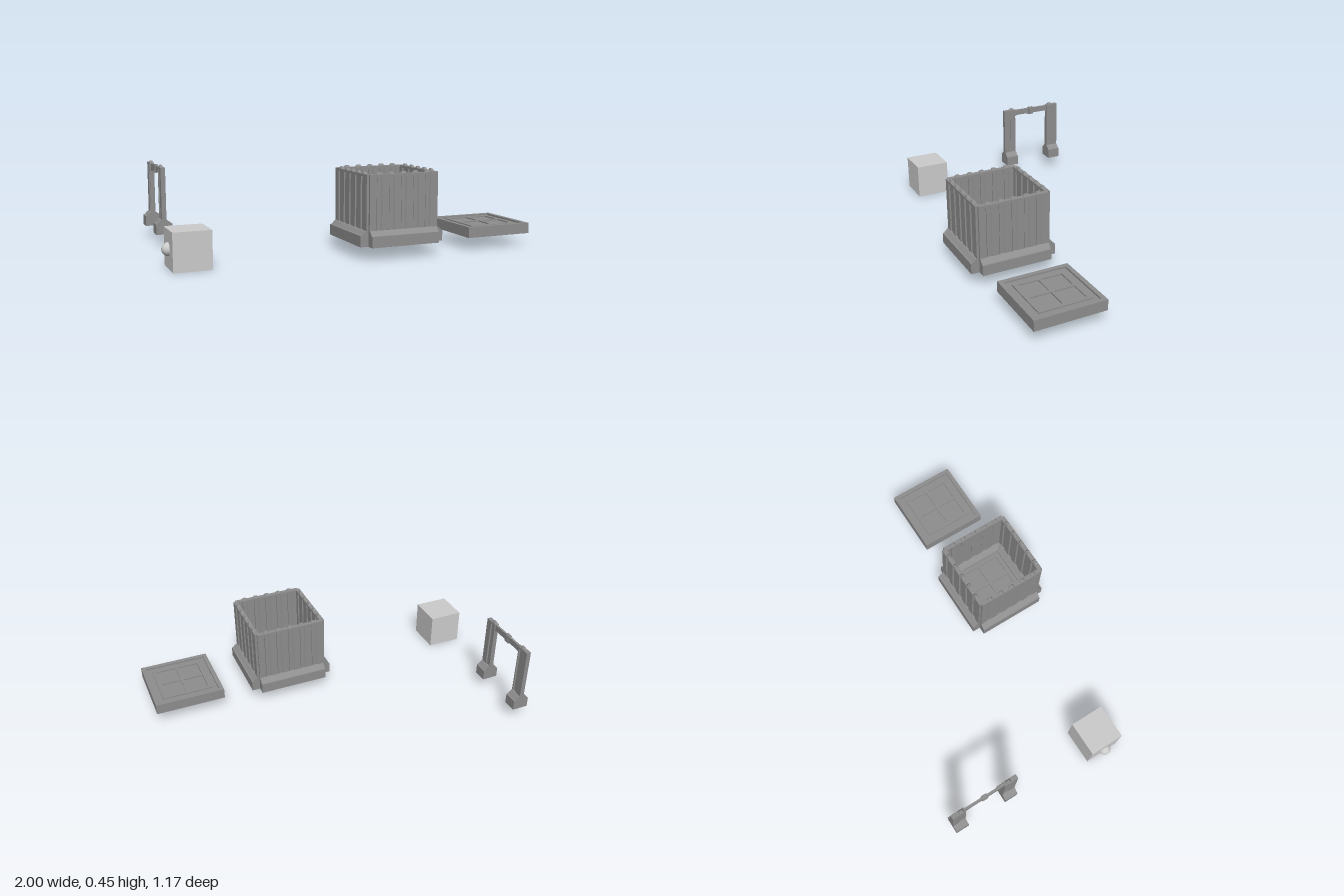
import * as THREE from 'three';

const dark = new THREE.MeshStandardMaterial({ color: 0x8e8e8e, flatShading: true });
const light = new THREE.MeshStandardMaterial({ color: 0xcccccc });
const HALF = 0.194; // half the width of a tile or wall
const T = 0.0125; // half the wall thickness
const BOTTOM = 0.07, TILE_TOP = 0.128;

function add(parent, name, geometry, material = dark, x = 0, y = 0, z = 0) {
  const mesh = new THREE.Mesh(geometry, material);
  mesh.name = name;
  mesh.position.set(x, y, z);
  parent.add(mesh);
  return mesh;
}

const polygon = (points) => new THREE.Shape(points.map(([x, y]) => new THREE.Vector2(x, y)));
const extrude = (shape, depth) => new THREE.ExtrudeGeometry(shape, { depth, bevelEnabled: false });

function square(cx, cy, h, PathType = THREE.Path) {
  return new PathType([[-h, -h], [h, -h], [h, h], [-h, h]].map(([x, y]) => new THREE.Vector2(cx + x, cy + y)));
}

// Wall section from x0 to x1 with upright grooves on both faces and a stud over each groove
function wallSection(parent, x0, x1, grooves) {
  const width = x1 - x0, mid = (x0 + x1) / 2;

  const edge = [[x0, T]];
  for (const g of grooves) {
    edge.push([g - 0.016, T], [g - 0.011, T - 0.006], [g + 0.011, T - 0.006], [g + 0.016, T]);
  }
  edge.push([x1, T]);
  const plan = [...edge, ...edge.map(([x, z]) => [x, -z]).reverse()];
  const body = extrude(polygon(plan), 0.28).rotateX(-Math.PI / 2);
  add(parent, 'groovedWall', body, dark, 0, 0.147, 0);
  add(parent, 'wallCap', new THREE.BoxGeometry(width, 0.013, 2 * T), dark, mid, 0.4325, 0);

  // Sloped footing, the same on both faces
  const side = [[0.045, BOTTOM], [0.045, TILE_TOP], [0.037, 0.13], [0.018, 0.149], [T, 0.152]];
  const profile = [...side, ...side.map(([z, y]) => [-z, y]).reverse()];
  const footing = extrude(polygon(profile), width).rotateY(Math.PI / 2);
  add(parent, 'footing', footing, dark, x0, 0, 0);

  // Tapered studs
  for (const g of grooves) {
    const stud = new THREE.CylinderGeometry(0.5, 1, 0.012, 4).rotateY(Math.PI / 4);
    stud.scale(0.024, 1, 0.015);
    add(parent, 'stud', stud, dark, g, 0.444, 0);
  }
}

// Square tile with a raised rim and a four-pane inset
function tile(name) {
  const group = new THREE.Group();
  group.name = name;
  const base = 0.118;
  add(group, 'tileBase', new THREE.BoxGeometry(2 * HALF, base - BOTTOM, 2 * HALF), dark, 0, (base + BOTTOM) / 2, 0);

  const rim = square(0, 0, HALF, THREE.Shape);
  rim.holes.push(square(0, 0, 0.17));
  add(group, 'tileRim', extrude(rim, TILE_TOP - base).rotateX(-Math.PI / 2), dark, 0, base, 0);

  const panes = square(0, 0, 0.142, THREE.Shape);
  for (const x of [-1, 1]) {
    for (const z of [-1, 1]) panes.holes.push(square(x * 0.064, z * 0.064, 0.056));
  }
  add(group, 'paneFrame', extrude(panes, 0.007).rotateX(-Math.PI / 2), dark, 0, base, 0);
  return group;
}

function fluteWall() {
  const group = new THREE.Group();
  group.name = 'wall';
  wallSection(group, -HALF, HALF, [-0.14, -0.07, 0, 0.07, 0.14]);
  return group;
}

function doorway() {
  const group = new THREE.Group();
  group.name = 'doorway';
  wallSection(group, -HALF, -0.117, [-0.14]);
  wallSection(group, 0.117, HALF, [0.14]);

  // Thin lintel, flared where it meets the posts
  const upper = [[-0.117, 0.439], [-0.1, 0.435], [0.1, 0.435], [0.117, 0.439]];
  const lower = [[0.117, 0.394], [0.1, 0.401], [-0.1, 0.401], [-0.117, 0.394]];
  const lintel = extrude(polygon([...lower.reverse(), ...upper.reverse()]), 0.012);
  add(group, 'lintel', lintel, dark, 0, 0, -0.006);

  // Keystone block
  add(group, 'keystone', new THREE.BoxGeometry(0.036, 0.046, 0.018), dark, 0, 0.417, 0);
  add(group, 'keystoneFace', new THREE.BoxGeometry(0.024, 0.034, 0.024), dark, 0, 0.417, 0);
  return group;
}

export function createModel() {
  const model = new THREE.Group();
  model.name = 'roomKit';

  // Open room: floor tile with four walls centred on its edges
  const room = new THREE.Group();
  room.name = 'room';
  room.add(tile('floor'));
  for (let i = 0; i < 4; i++) {
    const wall = fluteWall();
    const a = (i * Math.PI) / 2;
    wall.position.set(Math.sin(a) * HALF, 0, Math.cos(a) * HALF);
    wall.rotation.y = a;
    room.add(wall);
  }
  room.position.set(0.207, 0, 0.347);
  model.add(room);

  // Separate tile
  const spare = tile('looseTile');
  spare.position.set(1 - HALF, 0, 0.347);
  model.add(spare);

  // Separate doorway
  const door = doorway();
  door.position.set(-0.872, 0, -0.394);
  door.rotation.y = Math.PI / 2;
  model.add(door);

  // Plain cube with a ball set into one side
  add(model, 'cube', new THREE.BoxGeometry(0.194, 0.197, 0.194), light, -0.869, 0.0985, 0.347);
  add(model, 'ball', new THREE.SphereGeometry(0.034, 32, 20), light, -0.966, 0.1, 0.347);
  return model;
}
